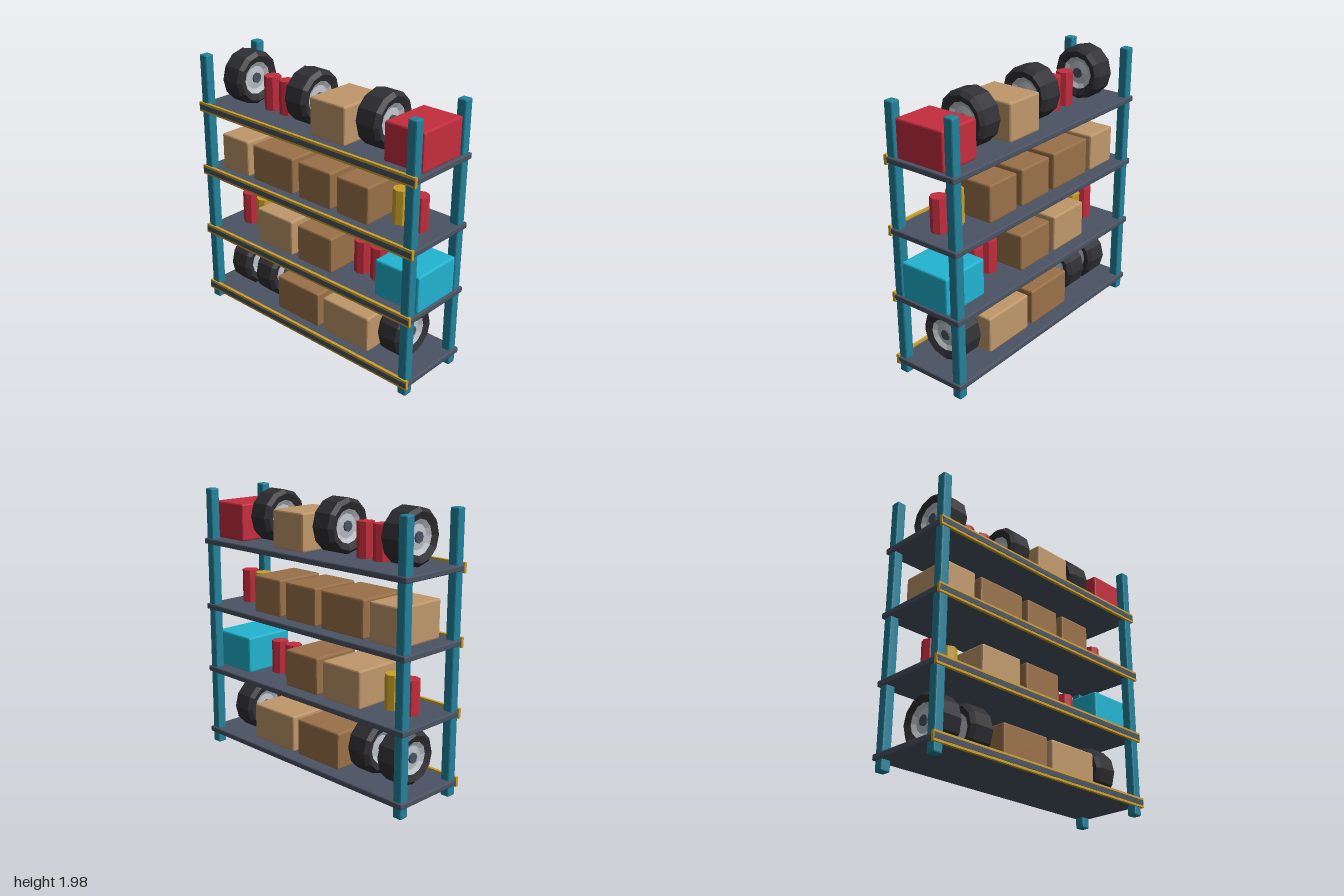
import * as THREE from 'three';
import { RoundedBoxGeometry } from 'three/addons/geometries/RoundedBoxGeometry.js';

const colours = {
  teal: 0x22829c, slate: 0x4b5363, yellow: 0xcda127, tan: 0xc0986a, brown: 0x9a7148,
  red: 0xc52d3e, cyan: 0x22b4d2, rubber: 0x303035, silver: 0xbcc2c9,
};

export function createModel() {
  const model = new THREE.Group();
  model.name = 'storageRack';
  const mats = {};
  for (const [name, color] of Object.entries(colours)) {
    mats[name] = new THREE.MeshStandardMaterial({ color });
    mats[name].name = name;
  }

  // Faceted shading through per-face normals
  const faceted = (geo) => {
    const g = geo.index ? geo.toNonIndexed() : geo;
    g.computeVertexNormals();
    return g;
  };
  const add = (parent, name, geo, mat, x = 0, y = 0, z = 0) => {
    const mesh = new THREE.Mesh(faceted(geo), mats[mat]);
    mesh.name = name;
    mesh.position.set(x, y, z);
    parent.add(mesh);
    return mesh;
  };
  const bevelBox = (w, h, d, r) => new RoundedBoxGeometry(w, h, d, 1, r);

  // Four corner posts
  for (const x of [-0.935, 0.935])
    for (const z of [-0.245, 0.245])
      add(model, 'post', bevelBox(0.07, 1.97, 0.07, 0.01), 'teal', x, 0.99, z);

  // Wheel pieces turned around the x axis
  const lathe = (pts) =>
    new THREE.LatheGeometry(pts.map(([r, h]) => new THREE.Vector2(r, h)), 12).rotateZ(Math.PI / 2);
  const tyreProfile = [
    [0.118, -0.08], [0.165, -0.097], [0.192, -0.07], [0.192, 0.07],
    [0.165, 0.097], [0.118, 0.08], [0.118, -0.08],
  ];
  const rimProfile = [
    [0, -0.07], [0.085, -0.06], [0.12, -0.078], [0.12, 0.078], [0.085, 0.06], [0, 0.07],
  ];
  const addWheel = (shelf, x, top) => {
    const wheel = new THREE.Group();
    wheel.name = 'wheel';
    wheel.position.set(x, top + 0.2, 0);
    add(wheel, 'tyre', lathe(tyreProfile), 'rubber');
    add(wheel, 'rim', lathe(rimProfile), 'silver');
    add(wheel, 'hub', new THREE.CylinderGeometry(0.038, 0.038, 0.156, 8).rotateZ(Math.PI / 2), 'slate');
    shelf.add(wheel);
  };
  const addCan = (shelf, x, top, mat) =>
    add(shelf, 'can', new THREE.CylinderGeometry(0.061, 0.061, 0.25, 8), mat, x, top + 0.125, 0);
  const addCrate = (shelf, x0, x1, top, mat) =>
    add(shelf, 'crate', bevelBox(x1 - x0, 0.27, 0.39, 0.012), mat, (x0 + x1) / 2, top + 0.135, 0);

  // Shelf levels: wheels [x], cans [x, colour], crates [left, right, colour]
  const levels = [
    { y: 0.103, wheels: [-0.755, -0.485, 0.725], cans: [],
      crates: [[-0.32, 0.09, 'brown'], [0.137, 0.56, 'tan']] },
    { y: 0.598, wheels: [],
      cans: [[-0.795, 'red'], [-0.645, 'yellow'], [0.34, 'red'], [0.487, 'red']],
      crates: [[-0.517, -0.165, 'tan'], [-0.108, 0.215, 'brown'], [0.61, 0.978, 'cyan']] },
    { y: 1.09, wheels: [], cans: [[0.662, 'yellow'], [0.812, 'red']],
      crates: [[-0.865, -0.595, 'tan'], [-0.542, -0.147, 'brown'],
        [-0.093, 0.208, 'brown'], [0.262, 0.54, 'brown']] },
    { y: 1.586, wheels: [-0.757, -0.138, 0.495], cans: [[-0.522, 'red'], [-0.374, 'red']],
      crates: [[0.023, 0.33, 'tan'], [0.657, 0.965, 'red']] },
  ];
  for (const { y, wheels, cans, crates } of levels) {
    const shelf = new THREE.Group();
    shelf.name = 'shelf';
    model.add(shelf);
    const top = y + 0.021;
    add(shelf, 'shelfBoard', bevelBox(1.97, 0.042, 0.58, 0.008), 'slate', 0, y, -0.003);
    // Front rail with an inset strip
    add(shelf, 'frontRail', new THREE.BoxGeometry(1.972, 0.07, 0.022), 'yellow', 0, y, 0.281);
    add(shelf, 'railStrip', new THREE.BoxGeometry(1.96, 0.038, 0.005), 'slate', 0, y, 0.2925);
    wheels.forEach((x) => addWheel(shelf, x, top - 0.01));
    cans.forEach(([x, mat]) => addCan(shelf, x, top - 0.005, mat));
    crates.forEach(([x0, x1, mat]) => addCrate(shelf, x0, x1, top, mat));
  }
  return model;
}
